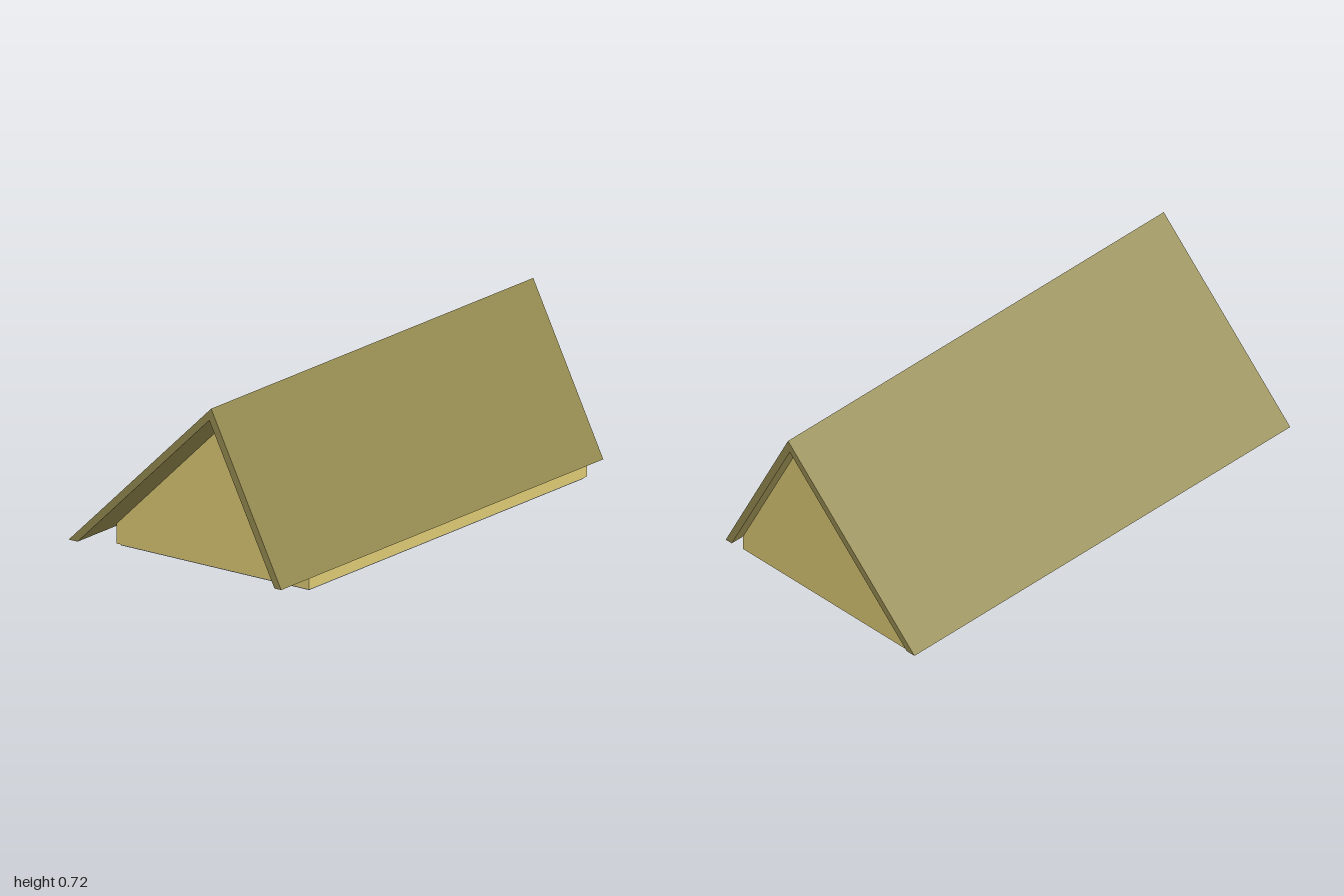
import * as THREE from 'three';

// Extrudes an outline (x, y) along z between two depths
function prism(name, points, zBack, zFront, color) {
  const shape = new THREE.Shape(points.map(([x, y]) => new THREE.Vector2(x, y)));
  const geometry = new THREE.ExtrudeGeometry(shape, { depth: zFront - zBack, bevelEnabled: false });
  geometry.translate(0, 0, zBack);
  const mesh = new THREE.Mesh(geometry, new THREE.MeshStandardMaterial({ color }));
  mesh.name = name;
  return mesh;
}

export function createModel() {
  const model = new THREE.Group();
  model.name = 'gableRoof';

  // Inner line of the roof, shared by the roof and the gable walls
  const ridge = [0.163, 0.668];
  const eaveY = 0.062;

  // Lopsided roof shell with horizontally cut eaves
  model.add(prism('roof', [
    [-0.505, eaveY], [-0.463, eaveY], ridge, [0.473, eaveY], [0.505, eaveY], [0.172, 0.716],
  ], -1, 1, 0x958a50));

  // Gable walls and low side walls, set back unevenly from the roof ends
  const base = 0.003;
  model.add(prism('walls', [
    [-0.442, base], [0.473, base], [0.473, eaveY], ridge, [-0.442, 0.082],
  ], -0.94, 0.785, 0xdcc974));

  // Thin grey floor, a little short of the back and right walls
  const floor = new THREE.Mesh(
    new THREE.BoxGeometry(0.895, base, 1.705),
    new THREE.MeshStandardMaterial({ color: 0x808080 }),
  );
  floor.name = 'floor';
  floor.position.set(0.0255, base / 2, -0.0675);
  model.add(floor);

  return model;
}
